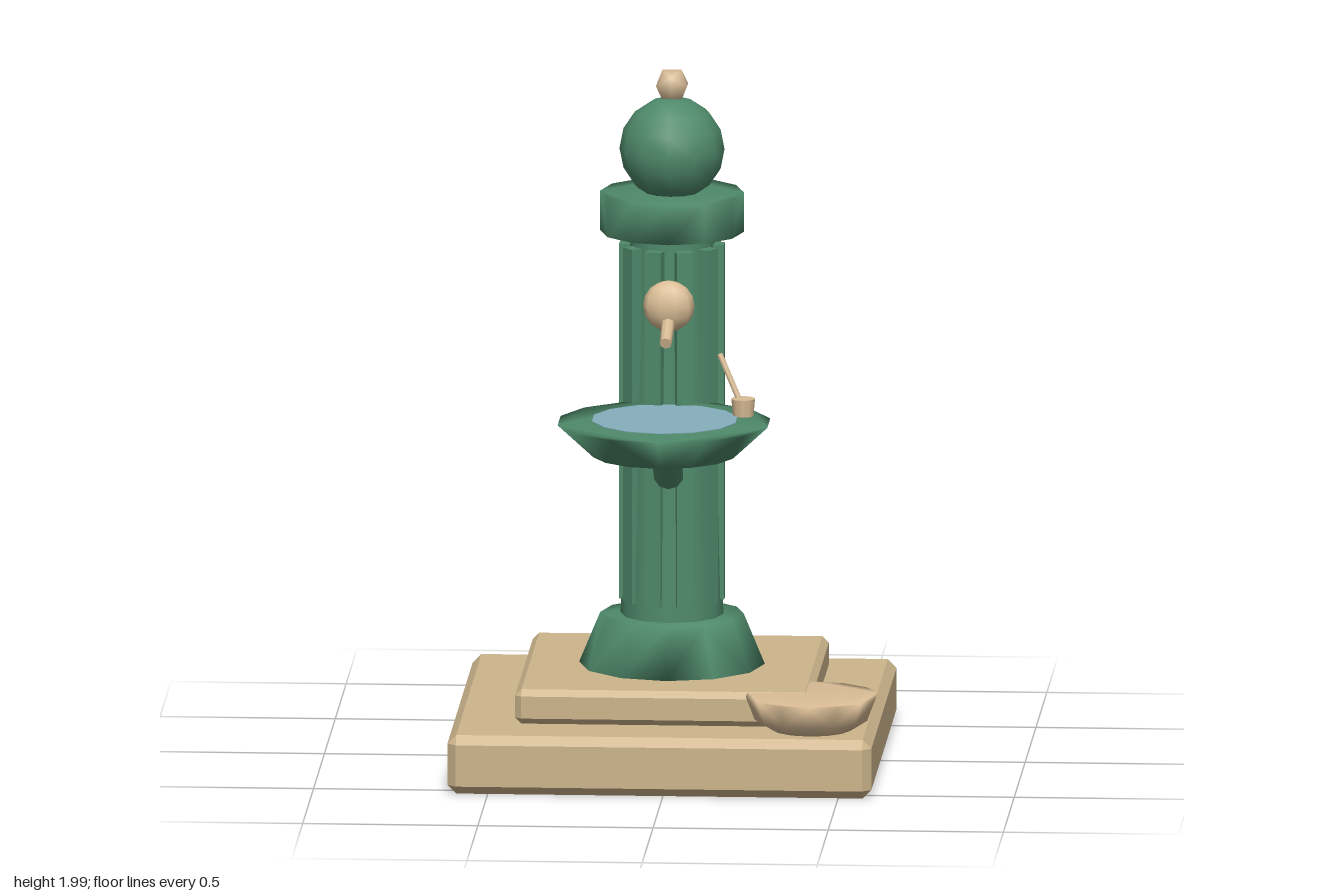
import * as THREE from 'three';
import { mergeVertices } from 'three/addons/utils/BufferGeometryUtils.js';
import { ConvexGeometry } from 'three/addons/geometries/ConvexGeometry.js';

const V = (x, y, z) => new THREE.Vector3(x, y, z);

// Share corners so the shading runs smoothly over every edge
function soften(geometry) {
  geometry.deleteAttribute('normal');
  if (geometry.attributes.uv) geometry.deleteAttribute('uv');
  const merged = mergeVertices(geometry, 1e-4);
  merged.computeVertexNormals();
  return merged;
}

// Solid of stacked polygon rings, each given as [radius, y]
function turned(rings, sides) {
  const points = [];
  for (const [r, y] of rings) {
    for (let i = 0; i < sides; i++) {
      const a = (i / sides) * Math.PI * 2;
      points.push(V(Math.sin(a) * r, y, Math.cos(a) * r));
    }
  }
  return soften(new ConvexGeometry(points));
}

// Box with a flat chamfer on every edge
function chamferBox(w, h, d, c) {
  const points = [];
  for (const x of [-1, 1]) for (const y of [-1, 1]) for (const z of [-1, 1]) {
    for (let k = 0; k < 3; k++) {
      points.push(V(
        x * (w / 2 - (k === 0 ? 0 : c)),
        y * (h / 2 - (k === 1 ? 0 : c)),
        z * (d / 2 - (k === 2 ? 0 : c))));
    }
  }
  return new ConvexGeometry(points);
}

export function createModel() {
  const model = new THREE.Group();
  model.name = 'drinkingFountain';

  const material = (name, color) => {
    const m = new THREE.MeshStandardMaterial({ color });
    m.name = name;
    return m;
  };
  const stone = material('stone', 0xcdb58c);
  const brass = material('paleBrass', 0xdbbe97);
  const green = material('greenIron', 0x4f8a6b);
  const blue = material('water', 0x86aebd);

  const add = (name, geometry, mat, x = 0, y = 0, z = 0, parent = model) => {
    const mesh = new THREE.Mesh(geometry, mat);
    mesh.name = name;
    mesh.position.set(x, y, z);
    parent.add(mesh);
    return mesh;
  };

  // Straight round bar between two points
  const bar = (name, from, to, r0, r1, sides, mat) => {
    const direction = to.clone().sub(from);
    const middle = from.clone().add(to).multiplyScalar(0.5);
    const mesh = add(name, new THREE.CylinderGeometry(r1, r0, direction.length(), sides),
      mat, middle.x, middle.y, middle.z);
    mesh.quaternion.setFromUnitVectors(V(0, 1, 0), direction.normalize());
    return mesh;
  };

  const cx = -0.01, cz = -0.035; // column axis

  // Stepped stone base
  add('baseSlab', chamferBox(1.21, 0.17, 1.21, 0.025), stone, cx, 0.085, cz);
  add('upperStep', chamferBox(0.845, 0.1, 0.845, 0.018), stone, cx, 0.22, cz);

  // Column, stacked on its axis
  const column = new THREE.Group();
  column.name = 'column';
  column.position.set(cx, 0, cz);
  model.add(column);
  add('footSkirt', turned([[0.265, 0.27], [0.205, 0.415]], 12), green, 0, 0, 0, column);
  add('columnCore', new THREE.CylinderGeometry(0.12, 0.147, 1.13, 12), green, 0, 0.965, 0, column);
  const ribShape = new THREE.BoxGeometry(0.032, 1.03, 0.047);
  for (let i = 0; i < 10; i++) {
    const a = (i / 10) * Math.PI * 2;
    const rib = add('rib', ribShape, green, Math.cos(a) * 0.134, 0.975, Math.sin(a) * 0.134, column);
    rib.rotation.y = -a;
  }
  add('collar', turned([[0.205, 1.525], [0.205, 1.64]], 12), green, 0, 0, 0, column);
  add('ballFinial', new THREE.SphereGeometry(0.15, 12, 8), green, 0, 1.765, 0, column);
  add('topKnob', soften(new THREE.IcosahedronGeometry(0.052, 0)), brass, 0, 1.95, 0, column);

  // Basin with water, carried by a slanted bracket
  add('basin', turned([[0.205, 0.95], [0.307, 1.045]], 14), green, cx, 0, 0.335);
  add('water', new THREE.CylinderGeometry(0.21, 0.21, 0.004, 14), blue, cx, 1.045, 0.3);
  bar('basinBracket', V(cx, 0.845, 0.115), V(cx, 0.95, 0.266), 0.043, 0.043, 10, green);

  // Spout on its round rosette
  const rosette = add('spoutRosette', new THREE.SphereGeometry(0.074, 10, 8), brass, cx, 1.337, 0.112);
  rosette.scale.z = 0.66;
  bar('spout', V(cx, 1.3, 0.12), V(cx, 1.256, 0.252), 0.02, 0.017, 8, brass);

  // Small cup with a stick standing on the basin
  add('cup', new THREE.CylinderGeometry(0.035, 0.03, 0.05, 10), brass, 0.21, 1.07, 0.232);
  bar('stick', V(0.2, 1.085, 0.225), V(0.14, 1.213, 0.182), 0.009, 0.009, 6, brass);

  // Bowl beside the step
  add('floorBowl', turned([[0.115, 0.17], [0.165, 0.202], [0.19, 0.268]], 14), brass, 0.415, 0, 0.39);

  return model;
}
